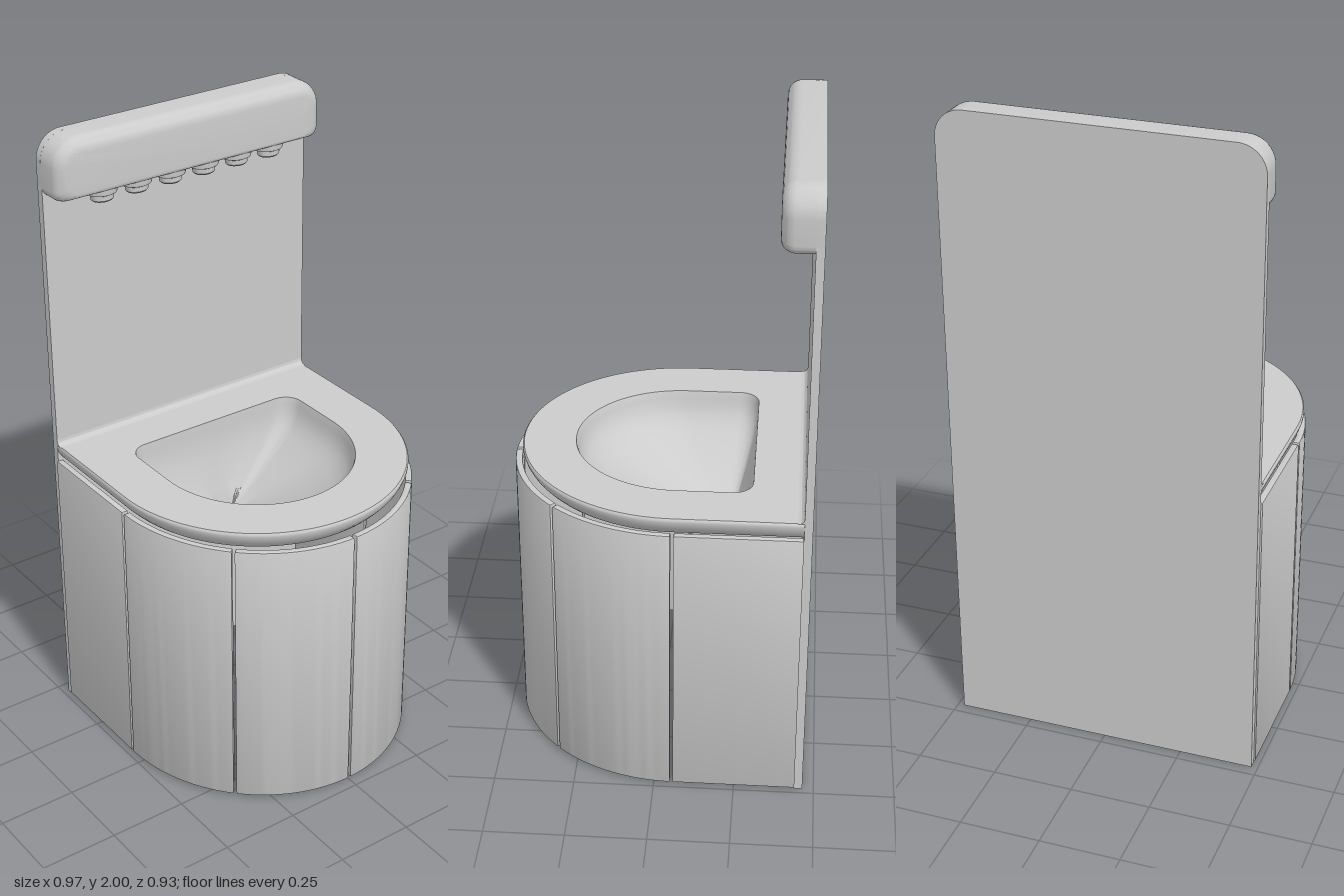
import * as THREE from 'three';
import { toCreasedNormals } from 'three/addons/utils/BufferGeometryUtils.js';

const grey = new THREE.MeshStandardMaterial({ color: 0xcccccc });
const greyThin = new THREE.MeshStandardMaterial({ color: 0xcccccc, side: THREE.DoubleSide });

const ARC_Z = -0.055; // where the straight sides turn into the curved front
const BACK_Z = -0.44; // front face of the back panel
const DECK_Y = 0.97;

function add(parent, name, geometry, material = grey, crease = 0.6) {
  const mesh = new THREE.Mesh(toCreasedNormals(geometry, crease), material);
  mesh.name = name;
  parent.add(mesh);
  return mesh;
}

// Skin closed rings of equal length; optionally close the last ring
function loft(rings, cap = false) {
  const n = rings[0].length;
  const pos = rings.flat().flatMap((p) => [p.x, p.y, p.z]);
  const index = [];
  for (let k = 0; k < rings.length - 1; k++) {
    for (let i = 0; i < n; i++) {
      const a = k * n + i, b = k * n + ((i + 1) % n);
      index.push(a, b, a + n, b, b + n, a + n);
    }
  }
  if (cap) {
    const base = (rings.length - 1) * n;
    for (let i = 1; i < n - 1; i++) index.push(base, base + i, base + i + 1);
  }
  const g = new THREE.BufferGeometry();
  g.setAttribute('position', new THREE.Float32BufferAttribute(pos, 3));
  g.setIndex(index);
  return g;
}

// D-shaped plan outline as (x, z) points, with rounded back corners
function dOutline(rx, back, rz, corner, steps = 64) {
  const pts = [];
  for (let i = 0; i <= steps; i++) {
    const a = (Math.PI * i) / steps;
    pts.push(new THREE.Vector2(rx * Math.cos(a), ARC_Z + rz * Math.sin(a)));
  }
  for (const [side, start] of [[-1, Math.PI], [1, Math.PI * 1.5]]) {
    for (let i = 0; i <= 8; i++) {
      const a = start + (Math.PI / 2) * (i / 8);
      pts.push(new THREE.Vector2(side * (rx - corner) + corner * Math.cos(a), back + corner + corner * Math.sin(a)));
    }
    // subdivide the straight back edge
    if (side < 0) for (let i = 1; i < 16; i++) pts.push(new THREE.Vector2((rx - corner) * (i / 8 - 1), back));
  }
  return pts;
}

const planShape = (pts) => new THREE.Shape(pts.map((p) => new THREE.Vector2(p.x, -p.y)));
const atHeight = (pts, y) => pts.map((p) => new THREE.Vector3(p.x, y, p.y));

// Curved cladding panel, or a straight one when no angles are given
function claddingPanel(side, from, to) {
  const outer = [], inner = [], t = 0.022;
  if (from === undefined) {
    outer.push([0.485, BACK_Z], [0.485, ARC_Z - 0.005]);
    inner.push([0.485 - t, BACK_Z], [0.485 - t, ARC_Z - 0.005]);
  } else {
    for (let i = 0; i <= 20; i++) {
      const a = from + ((to - from) * i) / 20;
      outer.push([0.485 * Math.cos(a), ARC_Z + 0.52 * Math.sin(a)]);
      inner.push([(0.485 - t) * Math.cos(a), ARC_Z + (0.52 - t) * Math.sin(a)]);
    }
  }
  const pts = [...outer, ...inner.reverse()].map(([x, z]) => new THREE.Vector2(side * x, z));
  const b = 0.005;
  const g = new THREE.ExtrudeGeometry(planShape(pts), {
    depth: 0.91 - 2 * b, bevelSize: b, bevelThickness: b, bevelOffset: -b, bevelSegments: 2,
  });
  return g.rotateX(-Math.PI / 2).translate(0, 0.005 + b, 0);
}

// Rounded rectangle ring facing +z
function roundedRing(hw, y0, y1, rBottom, rTop, z) {
  const pts = [];
  const corners = [[1, y0, rBottom, -0.5], [1, y1, rTop, 0], [-1, y1, rTop, 0.5], [-1, y0, rBottom, 1]];
  for (const [sx, y, r, start] of corners) {
    const cy = y === y0 ? y + r : y - r;
    for (let i = 0; i <= 10; i++) {
      const a = Math.PI * (start + i / 20);
      pts.push(new THREE.Vector3(sx * (hw - r) + r * Math.cos(a), cy + r * Math.sin(a), z));
    }
  }
  return pts;
}

export function createModel() {
  const model = new THREE.Group();
  model.name = 'washBasinUnit';

  // Tall back panel with rounded top corners
  const w = 0.48, r = 0.085;
  const back = new THREE.Shape();
  back.moveTo(-w, 0).lineTo(w, 0).lineTo(w, 2 - r);
  back.absarc(w - r, 2 - r, r, 0, Math.PI / 2);
  back.absarc(-w + r, 2 - r, r, Math.PI / 2, Math.PI);
  add(model, 'backPanel', new THREE.ExtrudeGeometry(back, { depth: 0.025, bevelEnabled: false, curveSegments: 16 })
    .translate(0, 0, -0.465));

  // Rounded hood along the top
  const hoodRings = [roundedRing(w, 1.81, 2, 0.03, r, -0.465)];
  for (let i = 0; i <= 8; i++) {
    const a = (Math.PI / 2) * (i / 8);
    const inset = 0.045 * (1 - Math.cos(a));
    hoodRings.push(roundedRing(w - inset, 1.81 + inset * 0.45, 2 - inset, 0.03, r - inset, -0.39 + 0.045 * Math.sin(a)));
  }
  add(model, 'hood', loft(hoodRings, true), grey, 0.8);

  // Row of nozzles under the hood
  const nozzles = new THREE.Group();
  nozzles.name = 'nozzles';
  model.add(nozzles);
  const nozzleProfile = [[0, 1.776], [0.032, 1.776], [0.037, 1.781], [0.038, 1.796], [0.048, 1.8], [0.05, 1.806], [0.05, 1.82]]
    .map(([x, y]) => new THREE.Vector2(x, y));
  for (let i = 0; i < 6; i++) {
    const nozzle = add(nozzles, 'nozzle', new THREE.LatheGeometry(nozzleProfile, 24));
    nozzle.position.set((i - 2.5) * 0.122, 0, -0.393);
    nozzle.scale.z = 0.8;
  }

  // Deck: flat top with a D-shaped opening and an edge tucked under
  const opening = dOutline(0.315, -0.285, 0.33, 0.06);
  const deckSheet = planShape(dOutline(w, BACK_Z, 0.495, 0.001));
  deckSheet.holes.push(planShape(opening));
  for (const [name, y, inset] of [['deckTop', DECK_Y, 0.004], ['deckUnderside', 0.905, 0.035]]) {
    const outline = planShape(dOutline(w - inset, BACK_Z, 0.495 - inset, 0.001));
    outline.holes = deckSheet.holes;
    add(model, name, new THREE.ShapeGeometry(outline).rotateX(-Math.PI / 2).translate(0, y, 0), greyThin);
  }
  const edgeProfile = [[0.004, 0.97], [0, 0.965], [0, 0.958], [0.004, 0.945], [0.012, 0.93], [0.022, 0.918], [0.035, 0.905]];
  add(model, 'deckEdge', loft(edgeProfile.map(([inset, y]) =>
    atHeight(dOutline(w - inset, BACK_Z, 0.495 - inset, 0.001), y))), grey, 0.8);

  // Cove where the deck meets the back panel
  const cove = new THREE.Shape();
  cove.moveTo(BACK_Z, DECK_Y).lineTo(BACK_Z + 0.02, DECK_Y);
  cove.quadraticCurveTo(BACK_Z, DECK_Y, BACK_Z, DECK_Y + 0.02);
  add(model, 'cove', new THREE.ExtrudeGeometry(cove, { depth: 2 * w, bevelEnabled: false })
    .rotateY(-Math.PI / 2).translate(w, 0, 0));

  // Bowl sloping from the opening to an off-centre drain hole
  const drain = new THREE.Vector2(0, -0.2);
  const bowlProfile = [[0, 0.97], [0.008, 0.962], [0.018, 0.945], [0.035, 0.92], [0.07, 0.895], [0.12, 0.873],
    [0.2, 0.847], [0.4, 0.797], [0.7, 0.731], [1, 0.67], [1, 0.65]];
  add(model, 'bowl', loft(bowlProfile.map(([t, y]) => atHeight(opening.map((p) => {
    const rim = p.clone().sub(drain).setLength(0.028).add(drain);
    return p.clone().lerp(rim, t);
  }), y))), greyThin, 0.7);

  // Hollow base clad with three panels on each side
  const cladding = new THREE.Group();
  cladding.name = 'cladding';
  model.add(cladding);
  const split = 0.794, gap = 0.01;
  for (const side of [1, -1]) {
    add(cladding, 'sidePanel', claddingPanel(side));
    add(cladding, 'cornerPanel', claddingPanel(side, gap, split - gap));
    add(cladding, 'frontPanel', claddingPanel(side, split + gap, Math.PI / 2 - gap));
  }
  return model;
}
